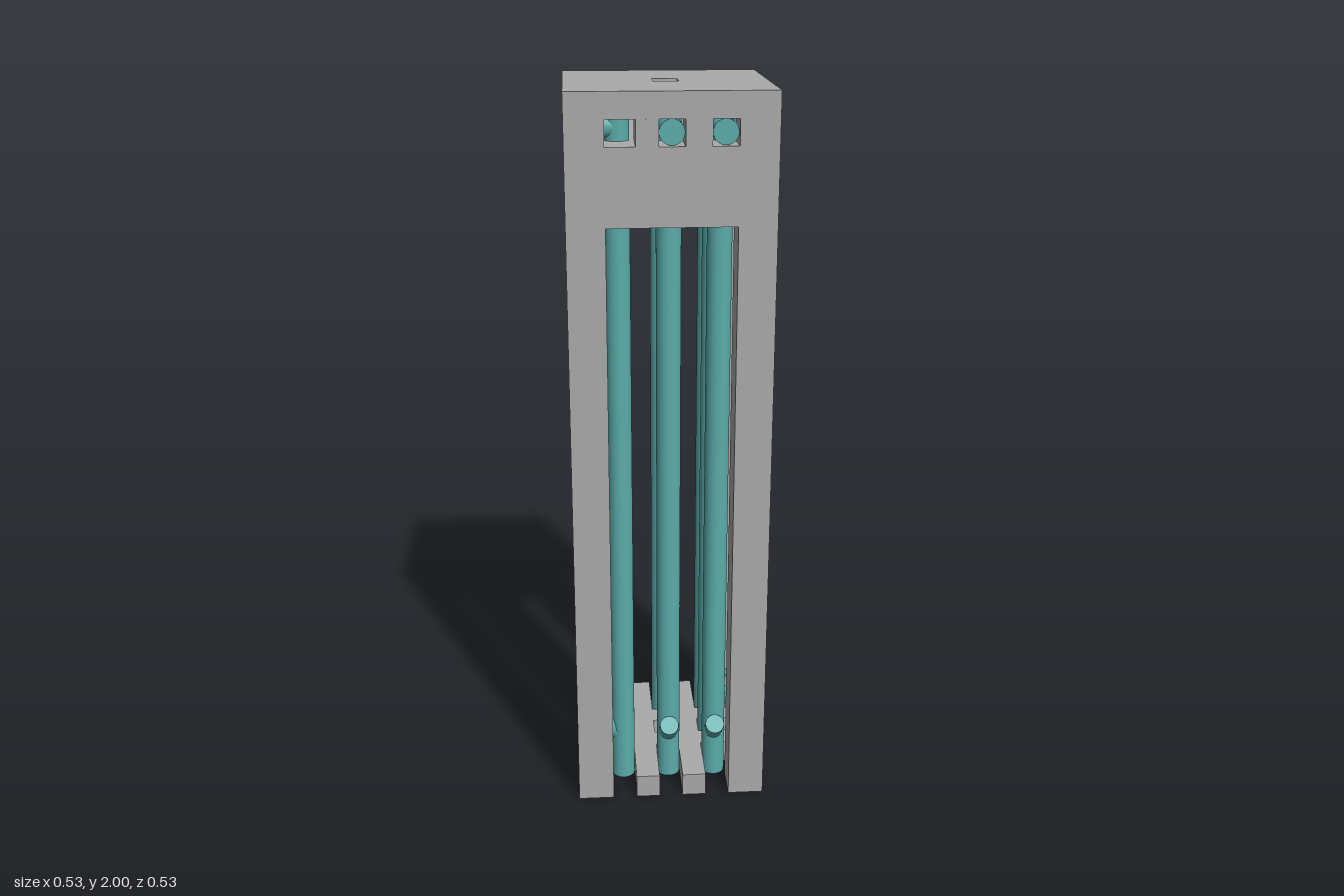
import * as THREE from 'three';

const U = 1 / 15; // building module
const W = 8 * U;  // tower width

export function createModel() {
  const concrete = new THREE.MeshStandardMaterial({ color: 0xaaaaaa });
  concrete.name = 'concreteGrey';
  const teal = new THREE.MeshStandardMaterial({ color: 0x5aacaa });
  teal.name = 'pipeTeal';

  const model = new THREE.Group();
  model.name = 'pipeTower';

  // Box given by its min and max corners
  function box(name, x0, y0, z0, x1, y1, z1) {
    const mesh = new THREE.Mesh(new THREE.BoxGeometry(x1 - x0, y1 - y0, z1 - z0), concrete);
    mesh.position.set((x0 + x1) / 2, (y0 + y1) / 2, (z0 + z1) / 2);
    mesh.name = name;
    model.add(mesh);
  }

  // Square slab with a square shaft through its centre
  function slab(name, y0, y1) {
    const square = (Type, h) => new Type([[-h, -h], [h, -h], [h, h], [-h, h]].map(([x, y]) => new THREE.Vector2(x, y)));
    const shape = square(THREE.Shape, W / 2);
    shape.holes.push(square(THREE.Path, U / 2));
    const geo = new THREE.ExtrudeGeometry(shape, { depth: y1 - y0, bevelEnabled: false });
    geo.rotateX(-Math.PI / 2);
    const mesh = new THREE.Mesh(geo, concrete);
    mesh.position.y = y0;
    mesh.name = name;
    model.add(mesh);
  }

  // Closed pipe between two points
  function pipe(name, parent, a, b, radius) {
    const from = new THREE.Vector3(...a), dir = new THREE.Vector3(...b).sub(from);
    const mesh = new THREE.Mesh(new THREE.CylinderGeometry(radius, radius, dir.length(), 32), teal);
    mesh.position.copy(from).addScaledVector(dir, 0.5);
    mesh.quaternion.setFromUnitVectors(new THREE.Vector3(0, 1, 0), dir.normalize());
    mesh.name = name;
    parent.add(mesh);
  }

  const inner = 2.5 * U, outer = W / 2;
  const deck = 25 * U, ventLow = 28 * U, ventHigh = 29 * U;

  // Corner legs, and corner posts beside the vents
  for (const sx of [-1, 1]) for (const sz of [-1, 1]) {
    const x0 = sx < 0 ? -outer : inner, z0 = sz < 0 ? -outer : inner, t = outer - inner;
    box('leg', x0, 0, z0, x0 + t, deck, z0 + t);
    box('cornerPost', x0, ventLow, z0, x0 + t, ventHigh, z0 + t);
  }

  // Head block: deck, roof, and two mullions dividing the front vent
  slab('deck', deck, ventLow);
  slab('roof', ventHigh, 2);
  box('frontMullion', -0.09, ventLow, inner, -U / 2, ventHigh, outer);
  box('frontMullion', U / 2, ventLow, inner, 1.5 * U, ventHigh, outer);

  // Base lattice: two long bars crossed by short pieces, open in the middle
  for (const s of [-1, 1]) {
    const a = s * U - U / 2, b = s * U + U / 2;
    box('baseBar', a, 0, -outer, b, U, outer);
    box('baseCrossPiece', -outer, 0, a, -1.5 * U, U, b);
    box('baseCrossPiece', -U / 2, 0, a, U / 2, U, b);
    box('baseCrossPiece', 1.5 * U, 0, a, outer, U, b);
  }

  // Eight risers in a pinwheel: each has a vent outlet and a slanted inlet
  for (let k = 0; k < 4; k++) {
    const side = new THREE.Group();
    side.name = 'pipeSide';
    side.rotation.y = k * Math.PI / 2;
    for (const x of [0, 2 * U]) {
      const z = 2 * U;
      pipe('riser', side, [x, 0, z], [x, ventHigh, z], U / 2);
      pipe('ventOutlet', side, [x, 28.5 * U, z], [x, 28.5 * U, 0.255], 0.0325);
      pipe('slantedInlet', side, [x, 0.13, z], [x, 0.185, z + 0.055], 0.027);
    }
    model.add(side);
  }
  return model;
}
